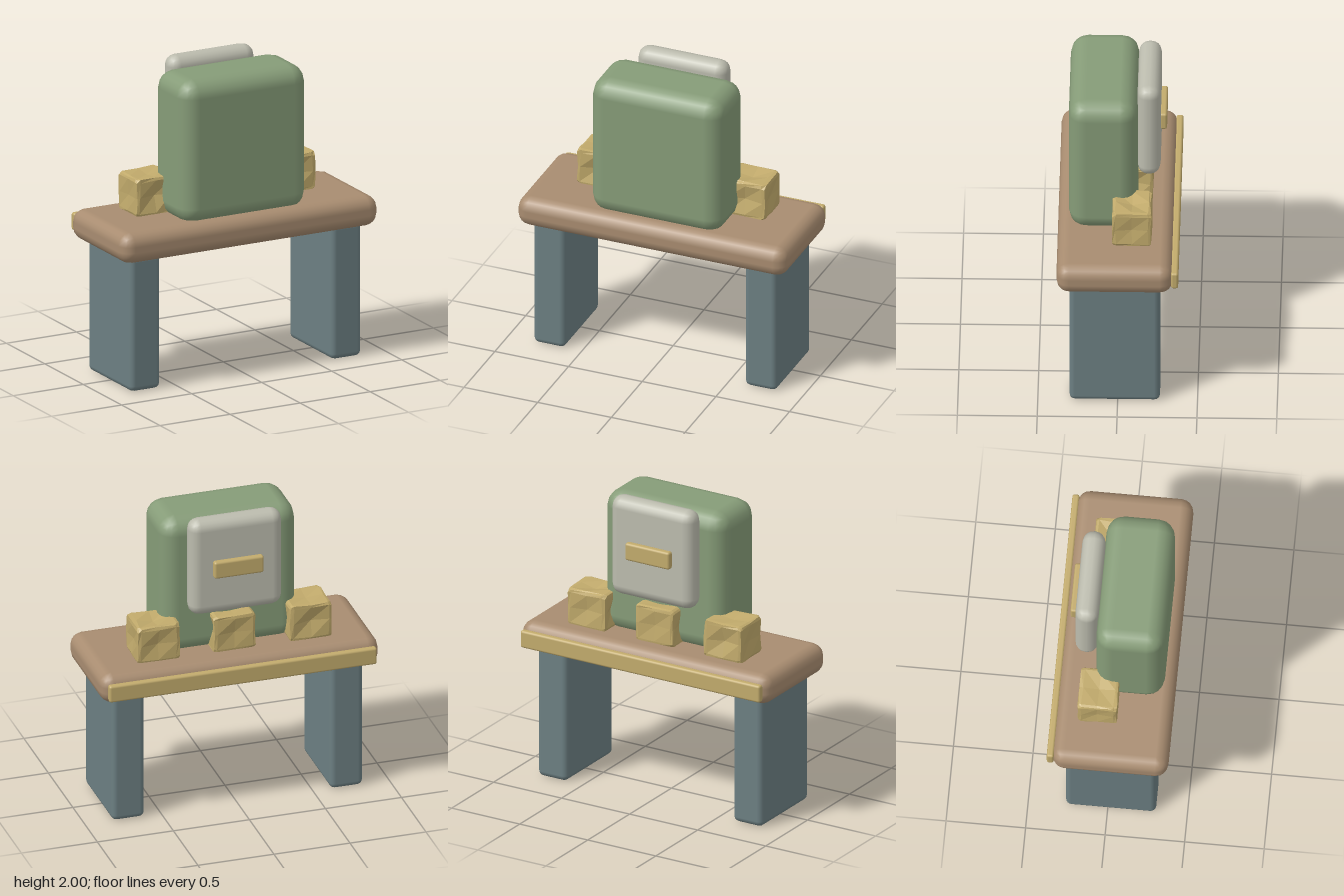
import * as THREE from 'three';
import { RoundedBoxGeometry } from 'three/addons/geometries/RoundedBoxGeometry.js';

const mat = (color, flatShading = false) => new THREE.MeshStandardMaterial({ color, flatShading });

// Rounded block given by its extents on each axis
function block(name, [x0, x1], [y0, y1], [z0, z1], radius, material) {
  const mesh = new THREE.Mesh(new RoundedBoxGeometry(x1 - x0, y1 - y0, z1 - z0, 2, radius), material);
  mesh.position.set((x0 + x1) / 2, (y0 + y1) / 2, (z0 + z1) / 2);
  mesh.name = name;
  return mesh;
}

// Box with pinched corners, dented faces and slight creases
function crumpledBox(w, h, d, seed) {
  const geo = new THREE.BoxGeometry(2, 2, 2, 4, 4, 4);
  const pos = geo.attributes.position;
  const p = new THREE.Vector3();
  const noise = (k) => {
    const s = Math.sin(p.x * 12.7 + p.y * 78.2 + p.z * 37.7 + k * 19.3 + seed * 5.1) * 437.5;
    return s - Math.floor(s) - 0.5;
  };
  for (let i = 0; i < pos.count; i++) {
    p.fromBufferAttribute(pos, i);
    const a = [Math.abs(p.x), Math.abs(p.y), Math.abs(p.z)].sort();
    const jitter = new THREE.Vector3(noise(1), noise(2), noise(3)).multiplyScalar(0.08);
    const q = p.clone();
    // Move the inner rows outward so the rim stays narrow
    for (const k of ['x', 'y', 'z']) if (Math.abs(q[k]) === 0.5) q[k] *= 1.65;
    if (a[1] === 1) q.multiplyScalar(a[0] === 1 ? 0.92 : 0.96);
    else if (a[1] === 0) {
      const k = ['x', 'y', 'z'].find((c) => Math.abs(p[c]) === 1);
      q[k] *= 0.83 + 0.2 * noise(4);
    }
    q.add(jitter).clampScalar(-1, 1);
    pos.setXYZ(i, q.x * w / 2, q.y * h / 2, q.z * d / 2);
  }
  const flat = geo.toNonIndexed();
  flat.computeVertexNormals();
  return flat;
}

export function createModel() {
  const group = new THREE.Group();
  const wood = mat(0xa88c70), slate = mat(0x6c7f82), green = mat(0x869c78);
  const pale = mat(0xbcbcae), brass = mat(0xc2ab6c), brassFlat = mat(0xc2ab6c, true);

  // Table: top, rear trim strip and two slab legs
  group.add(block('tableTop', [-0.915, 0.915], [0.855, 1.053], [-0.345, 0.383], 0.08, wood));
  group.add(block('rearTrim', [-0.88, 0.88], [0.895, 1.01], [-0.38, -0.335], 0.015, brass));
  for (const s of [-1, 1]) {
    const leg = block('leg', [0.61, 0.825], [0, 0.88], [-0.265, 0.302], 0.035, slate);
    leg.position.x *= s;
    group.add(leg);
  }

  // Upright body, back panel and its bar
  group.add(block('body', [-0.447, 0.447], [1.02, 1.96], [-0.116, 0.315], 0.11, green));
  group.add(block('backPanel', [-0.305, 0.305], [1.34, 2], [-0.258, -0.113], 0.07, pale));
  group.add(block('panelBar', [-0.163, 0.163], [1.612, 1.728], [-0.297, -0.25], 0.015, brass));

  // Row of crumpled boxes along the back
  [-0.5, 0, 0.5].forEach((x, i) => {
    const box = new THREE.Mesh(crumpledBox(0.28, 0.25, 0.25, i + 1), brassFlat);
    box.name = 'crumpledBox';
    box.position.set(x, 1.168, -0.085);
    group.add(box);
  });
  return group;
}
